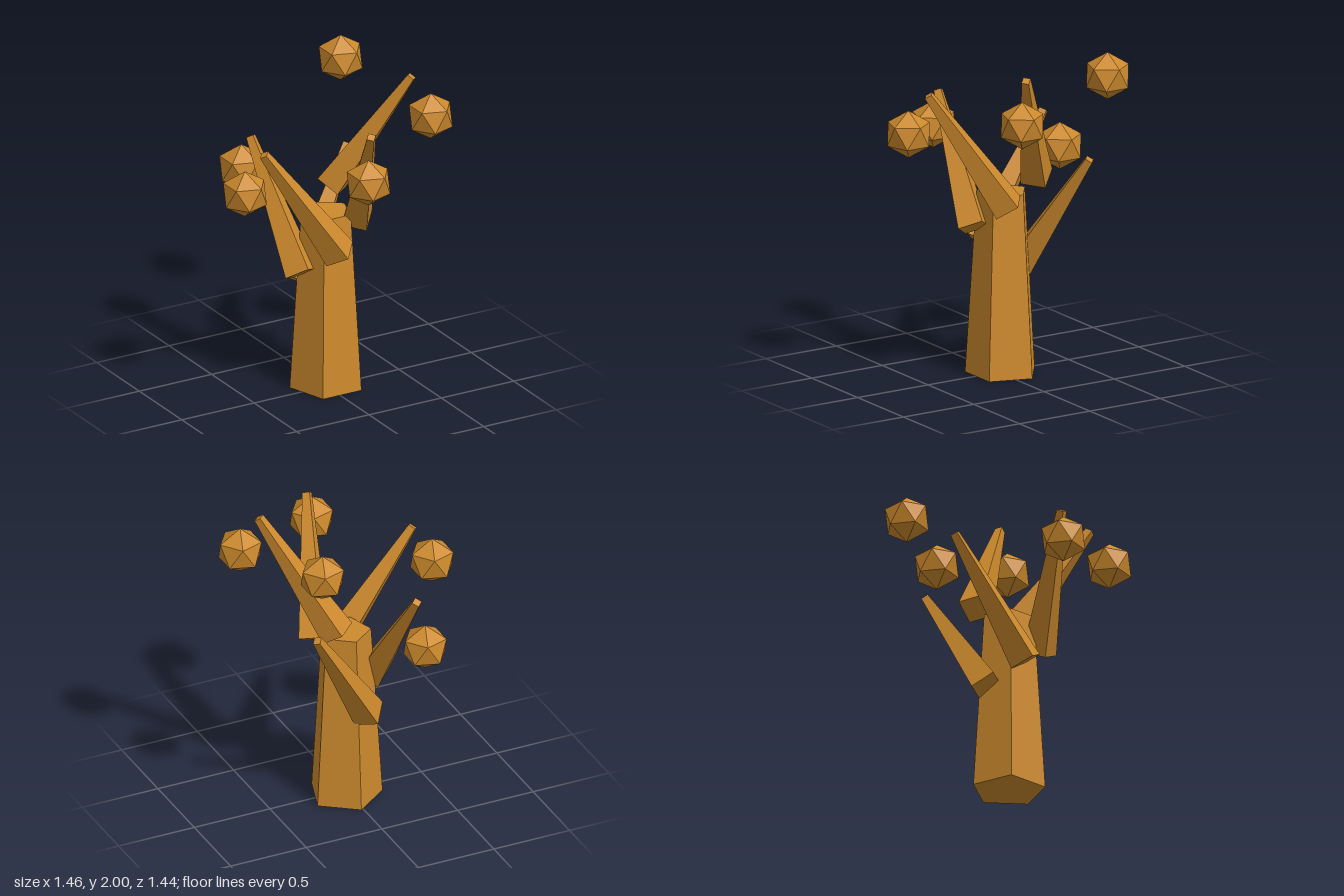
import * as THREE from 'three';

const STEP = 1.3; // angle between neighbouring limbs, in radians
const AXIS_X = 0.015, AXIS_Z = -0.023; // trunk axis

// Place an object at a height, around the trunk axis
function placeAround(object, radius, y, angle) {
  object.position.set(AXIS_X + radius * Math.cos(angle), y, AXIS_Z + radius * Math.sin(angle));
}

export function createModel() {
  const group = new THREE.Group();
  const amber = new THREE.MeshStandardMaterial({ color: 0xcd8a2d, flatShading: true });
  amber.name = 'amber wood';

  function addPart(name, geometry) {
    const mesh = new THREE.Mesh(geometry, amber);
    mesh.name = name;
    group.add(mesh);
    return mesh;
  }

  // Five-sided tapering trunk with one corner to the back
  const trunkGeometry = new THREE.CylinderGeometry(0.157, 0.226, 1.127, 5);
  trunkGeometry.rotateY(Math.PI);
  addPart('trunk', trunkGeometry).position.set(AXIS_X, 1.127 / 2, AXIS_Z);

  // Four-sided branches climbing in a spiral, each leaning outward with a twist
  const branchGeometry = new THREE.CylinderGeometry(0.032, 0.109, 0.875, 4);
  const LEAN = 0.595;
  for (let i = 0; i < 5; i++) {
    const angle = -1.082 - i * STEP;
    const lean = angle + 0.663;
    const branch = addPart('branch' + (i + 1), branchGeometry);
    placeAround(branch, 0.31, 0.985 + 0.15 * i, angle);
    branch.rotation.set(LEAN * Math.sin(lean), 0, -LEAN * Math.cos(lean), 'ZXY');
  }

  // Leaf clusters: icosahedra standing on a corner, in a wider spiral
  const leafGeometry = new THREE.IcosahedronGeometry(0.146, 0);
  leafGeometry.rotateZ(-Math.atan(2 / (1 + Math.sqrt(5))));
  for (let i = 0; i < 5; i++) {
    const leaf = addPart('leafCluster' + (i + 1), leafGeometry);
    placeAround(leaf, 0.626, 1.255 + 0.15 * i, -1.99 - i * STEP);
  }

  return group;
}
